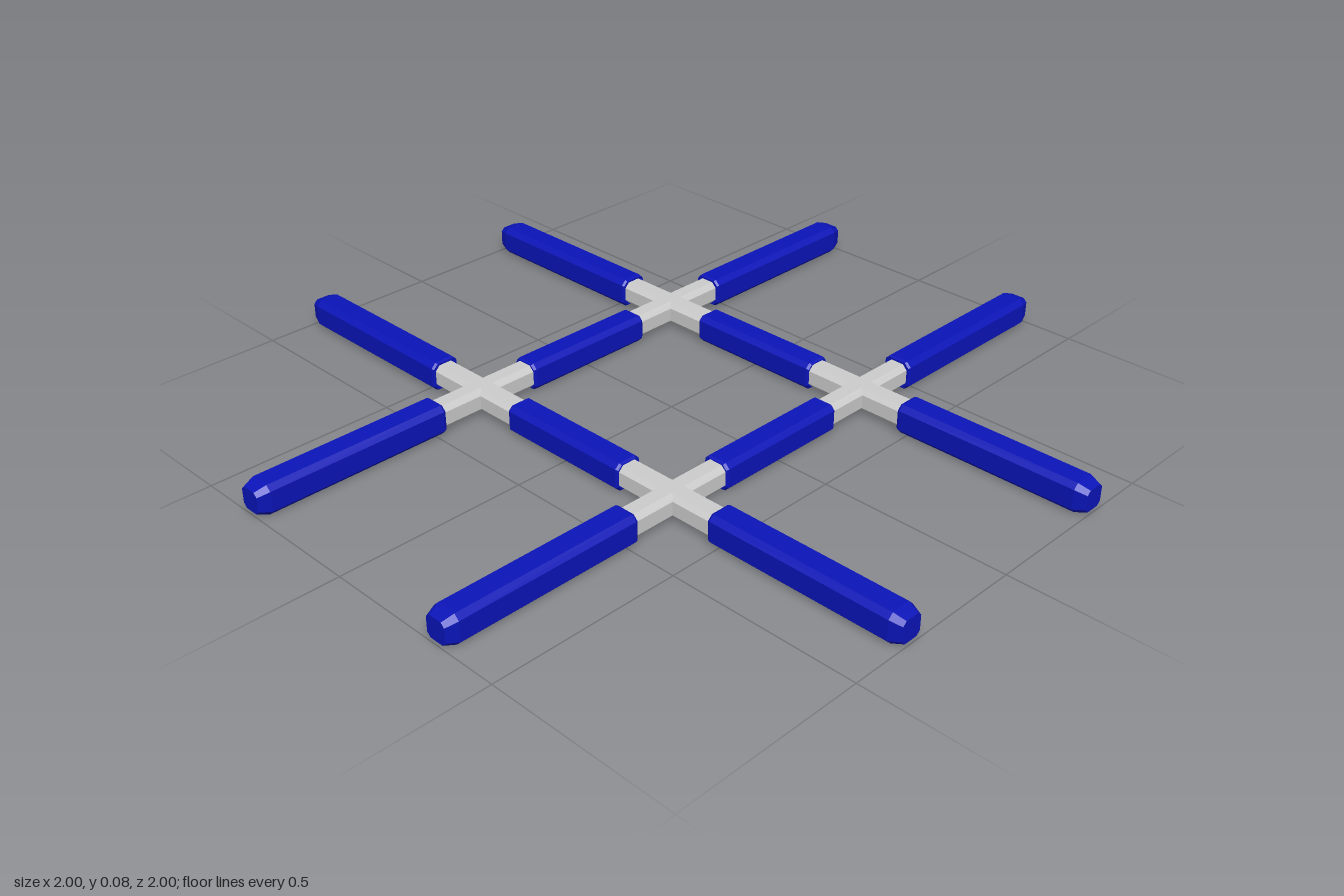
import * as THREE from 'three';

const AXIS_Y = 0.039; // height of every bar's centre line
const OFFSET = 0.33; // distance of each bar from the middle

// Chamfered square bar along x, lofted through [x, halfWidth, halfFlat] sections, capped at both ends
function barGeometry(sections) {
  const pos = [], index = [];
  for (const [x, h, f] of sections) {
    const ring = [[h, -f], [h, f], [f, h], [-f, h], [-h, f], [-h, -f], [-f, -h], [f, -h]];
    for (const [y, z] of ring) pos.push(x, y, z);
  }
  const last = (sections.length - 1) * 8;
  for (let s = 0; s < last; s += 8) {
    for (let i = 0; i < 8; i++) {
      const a = s + i, b = s + (i + 1) % 8;
      index.push(a, b, a + 8, b, b + 8, a + 8);
    }
  }
  for (let i = 1; i < 7; i++) {
    index.push(0, i + 1, i);
    index.push(last, last + i, last + i + 1);
  }
  const indexed = new THREE.BufferGeometry();
  indexed.setAttribute('position', new THREE.Float32BufferAttribute(pos, 3));
  indexed.setIndex(index);
  const geometry = indexed.toNonIndexed();
  geometry.computeVertexNormals();
  return geometry;
}

export function createModel() {
  const model = new THREE.Group();
  model.name = 'crossedBarFrame';
  const metal = new THREE.MeshStandardMaterial({ color: 0xcccccc, flatShading: true });
  const blue = new THREE.MeshStandardMaterial({ color: 0x0a14b8, flatShading: true });

  const coreGeometry = barGeometry([[-0.96, 0.031, 0.018], [0.96, 0.031, 0.018]]);
  const middleGeometry = barGeometry([
    [-0.19, 0.033, 0.022], [-0.184, 0.037, 0.025], [0.184, 0.037, 0.025], [0.19, 0.033, 0.022],
  ]);
  const endGeometry = barGeometry([
    [0.474, 0.036, 0.024], [0.48, 0.039, 0.026], [0.97, 0.039, 0.026], [1, 0.029, 0.019],
  ]);

  // One bar: grey core, blue middle sleeve and two blue end grips
  function addBar(name, side, turn) {
    const bar = new THREE.Group();
    bar.name = name;
    const add = (part, geometry, material, rotation = 0) => {
      const mesh = new THREE.Mesh(geometry, material);
      mesh.name = part;
      mesh.rotation.y = rotation;
      bar.add(mesh);
    };
    add('core', coreGeometry, metal);
    add('middleSleeve', middleGeometry, blue);
    add('endGrip', endGeometry, blue);
    add('oppositeEndGrip', endGeometry, blue, Math.PI);
    bar.rotation.y = turn;
    bar.position.set(turn ? side * OFFSET : 0, AXIS_Y, turn ? 0 : side * OFFSET);
    model.add(bar);
  }

  // Two bars across and two front to back
  for (const side of [-1, 1]) {
    addBar(side > 0 ? 'frontBar' : 'backBar', side, 0);
    addBar(side > 0 ? 'leftBar' : 'rightBar', side, Math.PI / 2);
  }
  return model;
}
